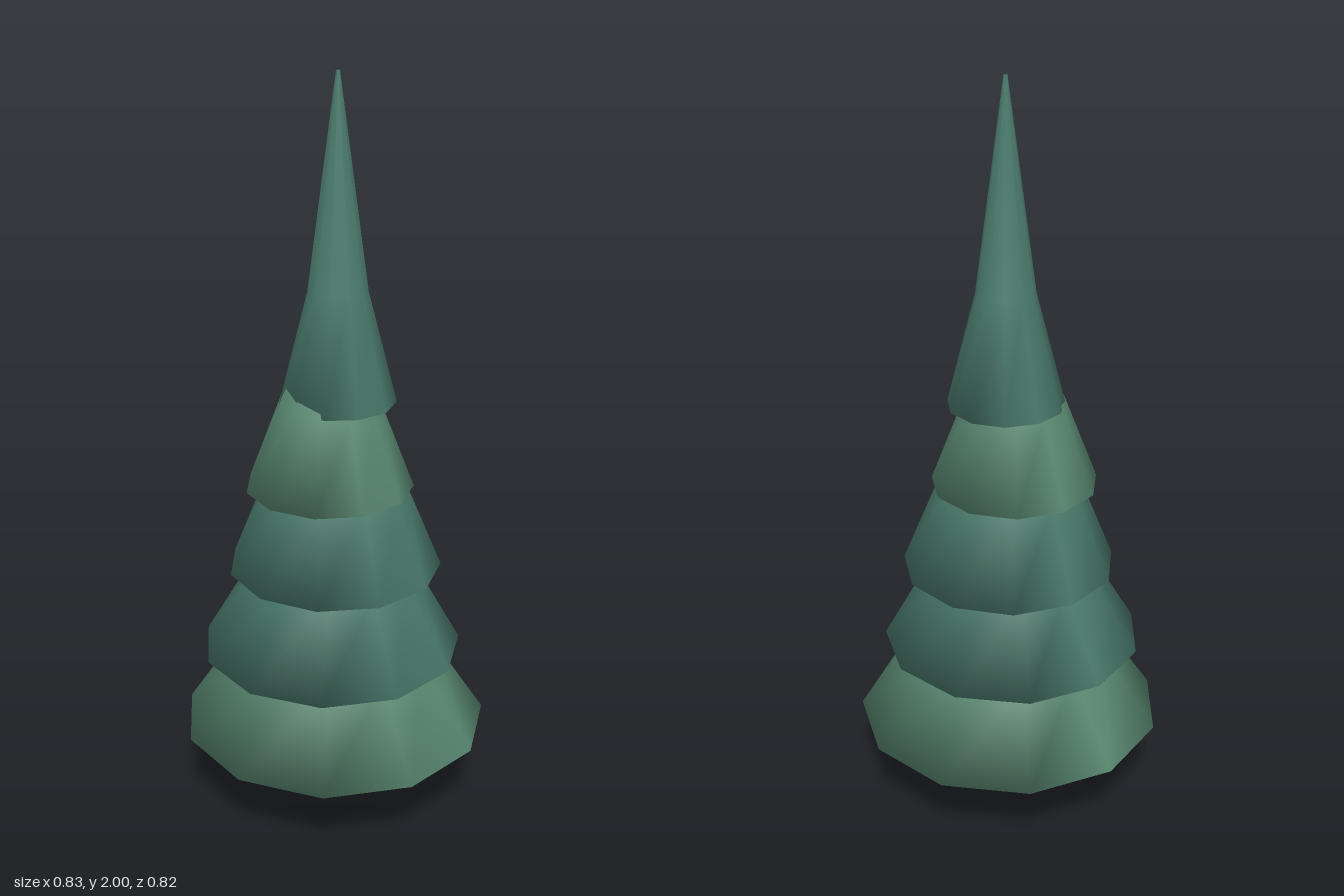
import * as THREE from 'three';

const SIDES = 11;

// Closed shell through stacked rings [y, radius, cx, cz]; turn rotates the corners.
function ringShell(rings, turn) {
  const pos = [], idx = [];
  for (const [y, r, cx, cz] of rings) {
    for (let i = 0; i < SIDES; i++) {
      const t = turn + (i / SIDES) * Math.PI * 2;
      pos.push(cx + r * Math.sin(t), y, cz - r * Math.cos(t));
    }
  }
  // walls
  for (let k = 0; k < rings.length - 1; k++) {
    for (let i = 0; i < SIDES; i++) {
      const j = (i + 1) % SIDES;
      const a = k * SIDES + i, b = k * SIDES + j;
      idx.push(a, a + SIDES, b, b, a + SIDES, b + SIDES);
    }
  }
  // flat lids, triangulated as zigzag strips
  const top = (rings.length - 1) * SIDES;
  const lid = (a, b, c) => idx.push(a, b, c, top + a, top + c, top + b);
  for (let lo = 0, hi = SIDES - 1; hi - lo > 1;) {
    lid(lo, lo + 1, hi);
    lo++;
    if (hi - lo > 1) {
      lid(lo, hi - 1, hi);
      hi--;
    }
  }
  const geo = new THREE.BufferGeometry();
  geo.setAttribute('position', new THREE.Float32BufferAttribute(pos, 3));
  geo.setIndex(idx);
  geo.computeVertexNormals();
  return geo;
}

export function createModel() {
  const tree = new THREE.Group();
  tree.name = 'firTree';
  const lightGreen = new THREE.MeshStandardMaterial({ color: 0x5a8a72 });
  const darkGreen = new THREE.MeshStandardMaterial({ color: 0x4a7a6c });
  const bark = new THREE.MeshStandardMaterial({ color: 0x6b5b4b });

  // Overlapping skirts of foliage, bottom to top
  const tiers = [
    { name: 'lowestBranches', mat: lightGreen, turn: 0,
      rings: [[0.235, 0.418, 0, 0.007], [0.465, 0.265, 0.002, 0.005], [0.6, 0.17, 0, 0.005]] },
    { name: 'lowerBranches', mat: darkGreen, turn: 0,
      rings: [[0.467, 0.352, -0.01, 0.006], [0.7, 0.218, -0.005, 0.005], [0.82, 0.15, 0, 0.005]] },
    { name: 'middleBranches', mat: darkGreen, turn: 0.09,
      rings: [[0.7, 0.286, 0.004, 0.004], [0.935, 0.19, 0.001, 0.005], [1.05, 0.13, 0, 0.005]] },
    { name: 'upperBranches', mat: lightGreen, turn: 0.1,
      rings: [[0.935, 0.222, -0.016, 0.004], [1.165, 0.134, -0.014, 0.002], [1.3, 0.082, -0.012, 0.004]] },
    { name: 'crown', mat: darkGreen, turn: 0.14,
      rings: [[1.165, 0.154, 0.011, 0.006], [1.46, 0.078, 0.008, 0.01], [2, 0.005, 0.008, 0.01]] },
  ];
  for (const { name, mat, turn, rings } of tiers) {
    const mesh = new THREE.Mesh(ringShell(rings, turn), mat);
    mesh.name = name;
    tree.add(mesh);
  }

  // Trunk, ending just inside the lowest skirt
  const trunk = new THREE.Mesh(new THREE.CylinderGeometry(0.038, 0.042, 0.25, 10), bark);
  trunk.name = 'trunk';
  trunk.position.set(-0.003, 0.125, 0.012);
  tree.add(trunk);
  return tree;
}
